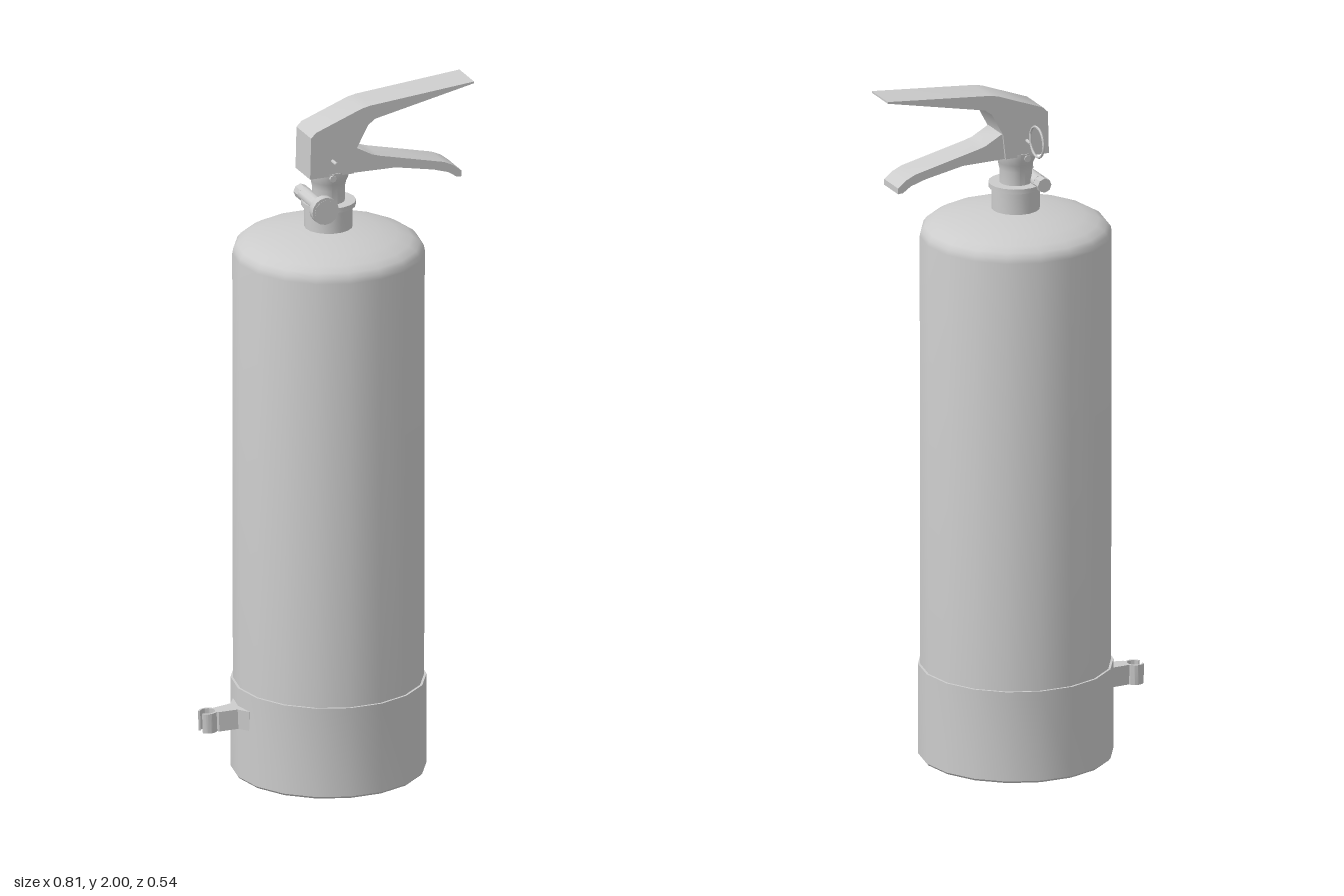
import * as THREE from 'three';
import { toCreasedNormals } from 'three/addons/utils/BufferGeometryUtils.js';

const CX = -0.015; // axis of the bottle

export function createModel() {
  const model = new THREE.Group();
  const material = new THREE.MeshStandardMaterial({ color: 0xcccccc, side: THREE.DoubleSide });

  const add = (name, geometry, x = 0, y = 0, z = 0) => {
    const mesh = new THREE.Mesh(toCreasedNormals(geometry, 0.6), material);
    mesh.name = name;
    mesh.position.set(x, y, z);
    model.add(mesh);
    return mesh;
  };
  const vectors = (points) => points.map(([x, y]) => new THREE.Vector2(x, y));
  const lathe = (name, points, sides = 18) =>
    add(name, new THREE.LatheGeometry(vectors(points), sides, Math.PI / 18), CX);
  // Profile in the xy plane, extruded evenly to both sides of z = 0
  const plate = (name, points, halfWidth) => {
    const geometry = new THREE.ExtrudeGeometry(new THREE.Shape(vectors(points)),
      { depth: 2 * halfWidth, bevelEnabled: false });
    return add(name, geometry.translate(0, 0, -halfWidth));
  };
  // Cylinder lying along z between two depths
  const rod = (name, radius, x, y, z0, z1, sides = 12) =>
    add(name, new THREE.CylinderGeometry(radius, radius, z1 - z0, sides).rotateX(Math.PI / 2),
      x, y, (z0 + z1) / 2);

  // Bottle with rounded shoulder
  lathe('bottle', [[0, 0.01], [0.268, 0.01], [0.27, 1.535], [0.267, 1.55], [0.257, 1.563],
    [0.235, 1.576], [0.195, 1.59], [0.14, 1.602], [0.068, 1.612], [0, 1.613]]);

  // Base sleeve with a thin lip
  lathe('baseSleeve', [[0, 0], [0.27, 0], [0.275, 0.006], [0.275, 0.27], [0.268, 0.27]]);

  // Neck, collar and flared valve stem
  lathe('neck', [[0.068, 1.6], [0.068, 1.676], [0, 1.676]]);
  lathe('collar', [[0, 1.676], [0.077, 1.676], [0.077, 1.69], [0, 1.69]]);
  lathe('valveStem', [[0.046, 1.688], [0.046, 1.73], [0.05, 1.75], [0.057, 1.765],
    [0.057, 1.785], [0, 1.785]]);

  // Pressure gauge on a cross fitting
  rod('gaugeStem', 0.021, -0.065, 1.695, -0.055, 0.08);
  rod('gauge', 0.04, -0.065, 1.695, 0.075, 0.099, 16);
  rod('gaugeRim', 0.032, -0.065, 1.695, 0.07, 0.1, 16);
  rod('rearFitting', 0.021, -0.065, 1.695, -0.085, -0.05, 8);

  // Carrying handle and valve housing
  plate('carryHandle', [[-0.093, 1.778], [0.04, 1.778], [0.048, 1.85], [0.083, 1.916],
    [0.105, 1.932], [0.405, 1.995], [0.405, 2], [0.09, 1.973], [0.065, 1.968],
    [-0.075, 1.915], [-0.09, 1.9]], 0.053);

  // Squeeze lever with a curled tip
  plate('squeezeLever', [[0, 1.778], [0.17, 1.775], [0.285, 1.752], [0.33, 1.738],
    [0.355, 1.721], [0.37, 1.72], [0.37, 1.737], [0.345, 1.757], [0.317, 1.77],
    [0.12, 1.817], [0.098, 1.824], [0.048, 1.852], [0, 1.85]], 0.046);

  // Hinge pin, safety pin and its pull ring
  rod('hingePin', 0.01, -0.025, 1.772, -0.06, 0.06, 8);
  rod('safetyPin', 0.005, -0.025, 1.824, -0.078, 0.084, 8);
  add('pullRing', new THREE.TorusGeometry(0.044, 0.0035, 6, 28).rotateY(Math.PI / 2),
    -0.025, 1.84, -0.119);

  // Hose clip: a flared bracket ending in an open C
  const clip = new THREE.Shape();
  const start = Math.PI * 1.18, end = Math.PI * 0.85;
  clip.absarc(-0.379, 0.003, 0.021, start, end + 2 * Math.PI, false);
  clip.absarc(-0.379, 0.003, 0.027, end, 0.6, true);
  for (const [x, y] of [[-0.3, 0.027], [-0.278, 0.06], [-0.26, 0.06], [-0.26, -0.06],
    [-0.278, -0.06], [-0.3, -0.027], [-0.355, -0.021]]) clip.lineTo(x, y);
  clip.absarc(-0.379, 0.003, 0.027, -0.75, start - 2 * Math.PI, true);
  const clipGeometry = new THREE.ExtrudeGeometry(clip,
    { depth: 0.058, bevelEnabled: false, curveSegments: 20 }).rotateX(-Math.PI / 2);
  // Slight upward tilt towards the bottle
  clipGeometry.translate(0.28, 0, 0).rotateZ(0.04).translate(-0.28, 0, 0);
  add('hoseClip', clipGeometry, 0, 0.16, 0);

  return model;
}
